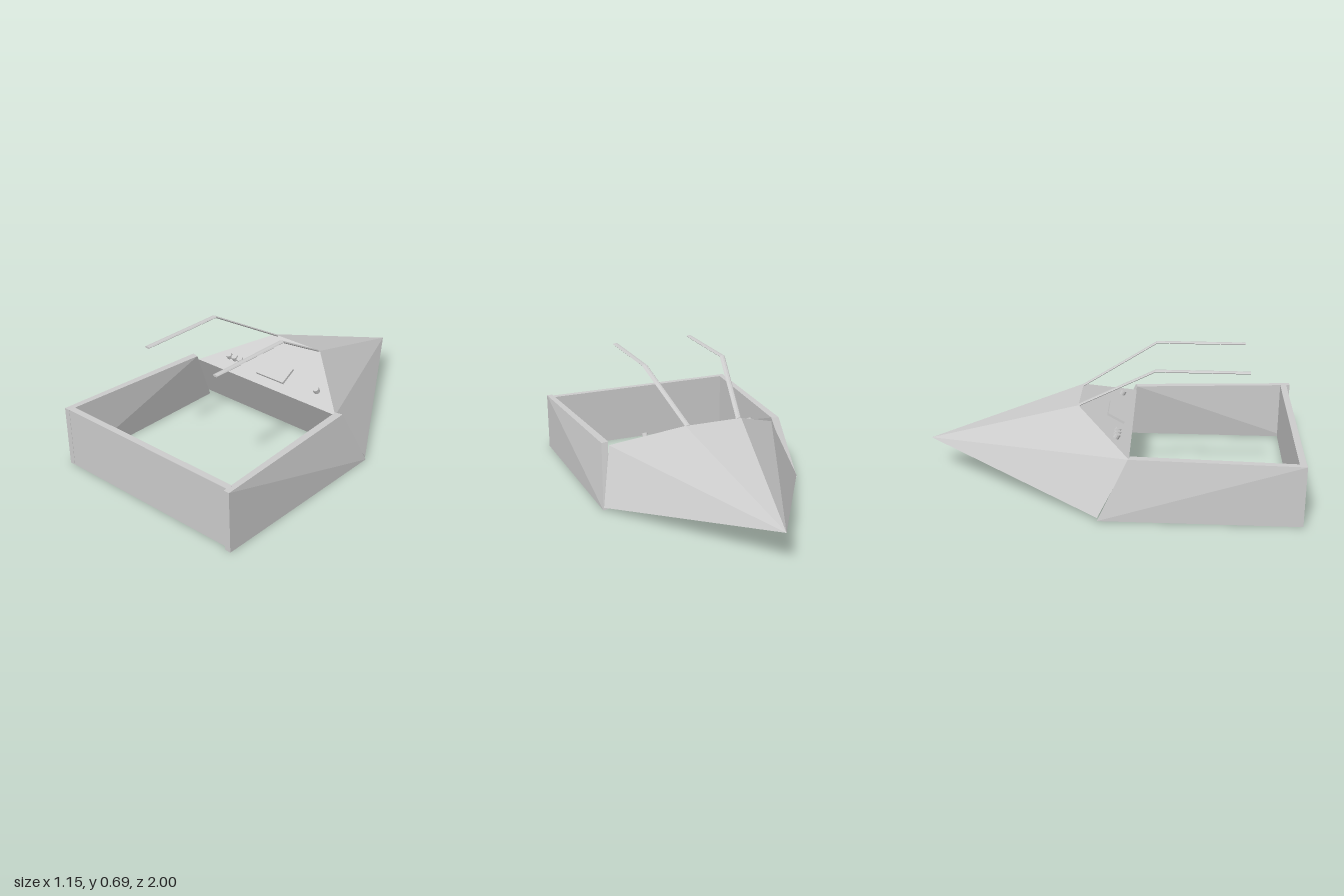
import * as THREE from 'three';
import { ConvexGeometry } from 'three/addons/geometries/ConvexGeometry.js';

const material = new THREE.MeshStandardMaterial({ color: 0xcccccc, flatShading: true });

function part(name, geometry, parent, x = 0, y = 0, z = 0) {
  const mesh = new THREE.Mesh(geometry, material);
  mesh.name = name;
  mesh.position.set(x, y, z);
  parent.add(mesh);
  return mesh;
}

const hull = (points) => new ConvexGeometry(points.map((p) => new THREE.Vector3(...p)));

// Flat bar that follows a bent path: one flattened octagon per path point
function barGeometry(path, halfWidth, halfHeight, sides = 8) {
  const positions = [], index = [];
  for (const [x, y, z] of path) {
    for (let i = 0; i < sides; i++) {
      const a = (i / sides) * Math.PI * 2;
      positions.push(x + Math.cos(a) * halfWidth, y + Math.sin(a) * halfHeight, z);
    }
  }
  for (let s = 0; s < path.length - 1; s++) {
    for (let i = 0; i < sides; i++) {
      const a = s * sides + i, b = s * sides + (i + 1) % sides;
      index.push(a, b, b + sides, a, b + sides, a + sides);
    }
  }
  const last = (path.length - 1) * sides;
  for (let i = 1; i < sides - 1; i++) {
    index.push(0, i + 1, i, last, last + i, last + i + 1);
  }
  const geometry = new THREE.BufferGeometry();
  geometry.setAttribute('position', new THREE.Float32BufferAttribute(positions, 3));
  geometry.setIndex(index);
  const flat = geometry.toNonIndexed();
  flat.computeVertexNormals();
  return flat;
}

export function createModel() {
  const model = new THREE.Group();
  model.name = 'cockpit';

  // Pointed nose with the sloping dashboard and the closed panel below it
  const nose = [[0, 0.18, -1]];
  for (const s of [-1, 1]) {
    nose.push([s * 0.16, 0.455, -0.17], [s * 0.485, 0.30, 0.11], [s * 0.573, 0.015, -0.045]);
  }
  part('nose', hull(nose), model);

  for (const s of [-1, 1]) {
    const side = s > 0 ? 'left' : 'right';
    const end = s > 0 ? 1.0 : 0.982;

    // Side wall: upright at the front end, leaning inward at the nose
    part(side + 'Wall', hull([
      [s * 0.577, 0, -0.045], [s * 0.545, 0, -0.035],
      [s * 0.528, 0.32, 0.105], [s * 0.487, 0.32, 0.115],
      [s * 0.577, 0, end], [s * 0.545, 0, end],
      [s * 0.577, 0.327, end], [s * 0.545, 0.327, end],
    ]), model);

    // Bent grab bar rising from the dashboard ridge
    part(side + 'Handle', barGeometry([
      [s * 0.145, 0.452, -0.17], [s * 0.23, 0.68, 0.23], [s * 0.23, 0.68, 0.71],
    ], 0.015, 0.006), model);
  }

  // Cross wall closing the open end
  part('endWall', new THREE.BoxGeometry(1.1, 0.327, 0.035), model, 0, 0.1635, 0.963);

  // Instruments, laid out on the dashboard slope
  const dashboard = new THREE.Group();
  dashboard.name = 'dashboardInstruments';
  dashboard.position.set(0, 0.344, 0.03);
  dashboard.rotation.x = Math.atan2(0.155, 0.28);
  model.add(dashboard);
  part('screen', new THREE.BoxGeometry(0.19, 0.02, 0.1), dashboard, 0.005, 0.003, -0.012);
  for (const x of [-0.31, -0.27, -0.23, 0.305]) {
    part('knob', new THREE.CylinderGeometry(0.017, 0.017, 0.03, 12), dashboard, x, 0.01, 0.004);
  }

  return model;
}
